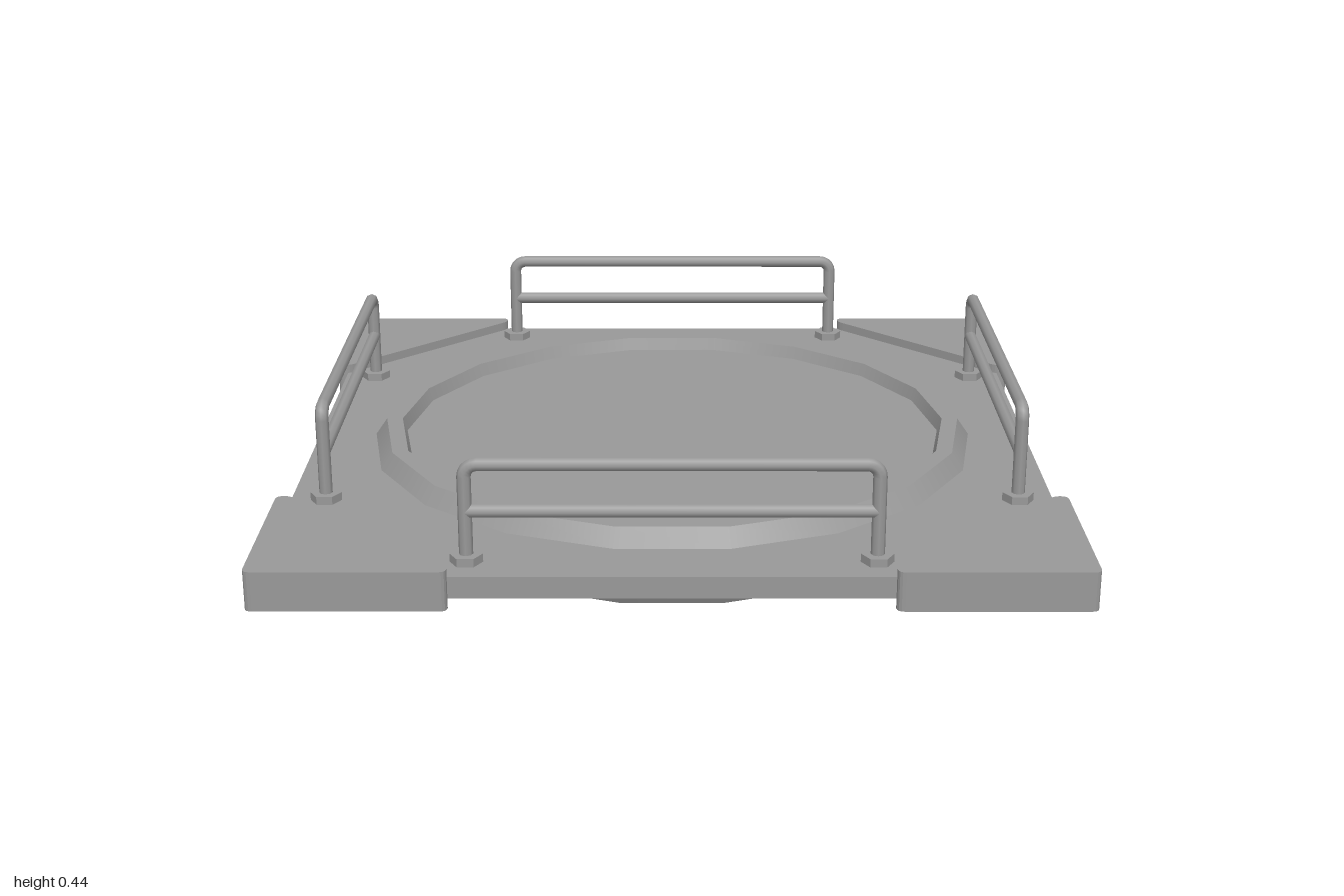
import * as THREE from 'three';

const grey = new THREE.MeshStandardMaterial({ color: 0x999999 });
grey.name = 'metalGrey';

function add(parent, name, geometry, x = 0, y = 0, z = 0) {
  const mesh = new THREE.Mesh(geometry, grey);
  mesh.name = name;
  mesh.position.set(x, y, z);
  parent.add(mesh);
  return mesh;
}

// Round dish: one lathe band per profile step, so steps stay sharp
function makeDish() {
  const dish = new THREE.Group();
  dish.name = 'dish';
  const profile = [
    [0, 0.08], [0.68, 0.08], [0.69, 0], [0.745, 0], [0.808, 0.125],
    [0.817, 0.174], [0.785, 0.22], [0.742, 0.22], [0.73, 0.185], [0, 0.185],
  ].map(([r, y]) => new THREE.Vector2(r, y));
  for (let i = 0; i < profile.length - 1; i++) {
    add(dish, 'dishBand', new THREE.LatheGeometry([profile[i], profile[i + 1]], 18, Math.PI / 2));
  }
  return dish;
}

// Corner block: square corner with a diagonal inner edge and softened tips
function cornerGeometry() {
  const s = new THREE.Shape();
  s.moveTo(0.545, 1);
  s.quadraticCurveTo(0.525, 1, 0.525, 0.98);
  s.quadraticCurveTo(0.525, 0.965, 0.54, 0.95);
  s.lineTo(0.95, 0.54);
  s.quadraticCurveTo(0.965, 0.525, 0.98, 0.525);
  s.quadraticCurveTo(1, 0.525, 1, 0.545);
  s.lineTo(1, 0.98);
  s.quadraticCurveTo(1, 1, 0.98, 1);
  s.closePath();
  const g = new THREE.ExtrudeGeometry(s, { depth: 0.1, bevelEnabled: false, curveSegments: 4 });
  return g.rotateX(-Math.PI / 2);
}

// Guard rail along x: two posts, two bends, top bar and middle bar
function makeRail() {
  const rail = new THREE.Group();
  rail.name = 'guardRail';
  const r = 0.017, half = 0.488, top = 0.422, bend = 0.03, foot = 0.175;
  const postHeight = top - bend - foot;
  for (const side of [-1, 1]) {
    add(rail, 'railPost', new THREE.CylinderGeometry(r, r, postHeight, 8, 1, true),
      side * half, foot + postHeight / 2, 0);
    const elbow = add(rail, 'railBend', new THREE.TorusGeometry(bend, r, 8, 5, Math.PI / 2),
      side * (half - bend), top - bend, 0);
    if (side < 0) elbow.rotation.z = Math.PI / 2;
  }
  const bar = (length) => new THREE.CylinderGeometry(r, r, length, 8, 1, true).rotateZ(Math.PI / 2);
  add(rail, 'topBar', bar(2 * (half - bend)), 0, top, 0);
  add(rail, 'middleBar', bar(2 * half), 0, 0.305, 0);
  return rail;
}

export function createModel() {
  const model = new THREE.Group();
  model.name = 'railedPlatform';

  // Square deck and round dish
  add(model, 'deck', new THREE.BoxGeometry(1.94, 0.055, 1.94), 0, 0.1475, 0);
  model.add(makeDish());

  // Four corners, rails and hexagonal feet
  const corner = cornerGeometry();
  const footGeometry = new THREE.CylinderGeometry(0.04, 0.04, 0.022, 6).rotateY(Math.PI / 2).toNonIndexed();
  footGeometry.computeVertexNormals();
  for (let k = 0; k < 4; k++) {
    const angle = k * Math.PI / 2;
    add(model, 'cornerBlock', corner, 0, 0.1, 0).rotation.y = angle;

    const rail = makeRail();
    rail.position.set(0.88 * Math.sin(angle), 0, 0.88 * Math.cos(angle));
    rail.rotation.y = angle;
    model.add(rail);

    for (const side of [-1, 1]) {
      const p = new THREE.Vector3(side * 0.488, 0.185, 0.88)
        .applyAxisAngle(new THREE.Vector3(0, 1, 0), angle);
      add(model, 'railFoot', footGeometry, p.x, p.y, p.z);
    }
  }
  return model;
}
